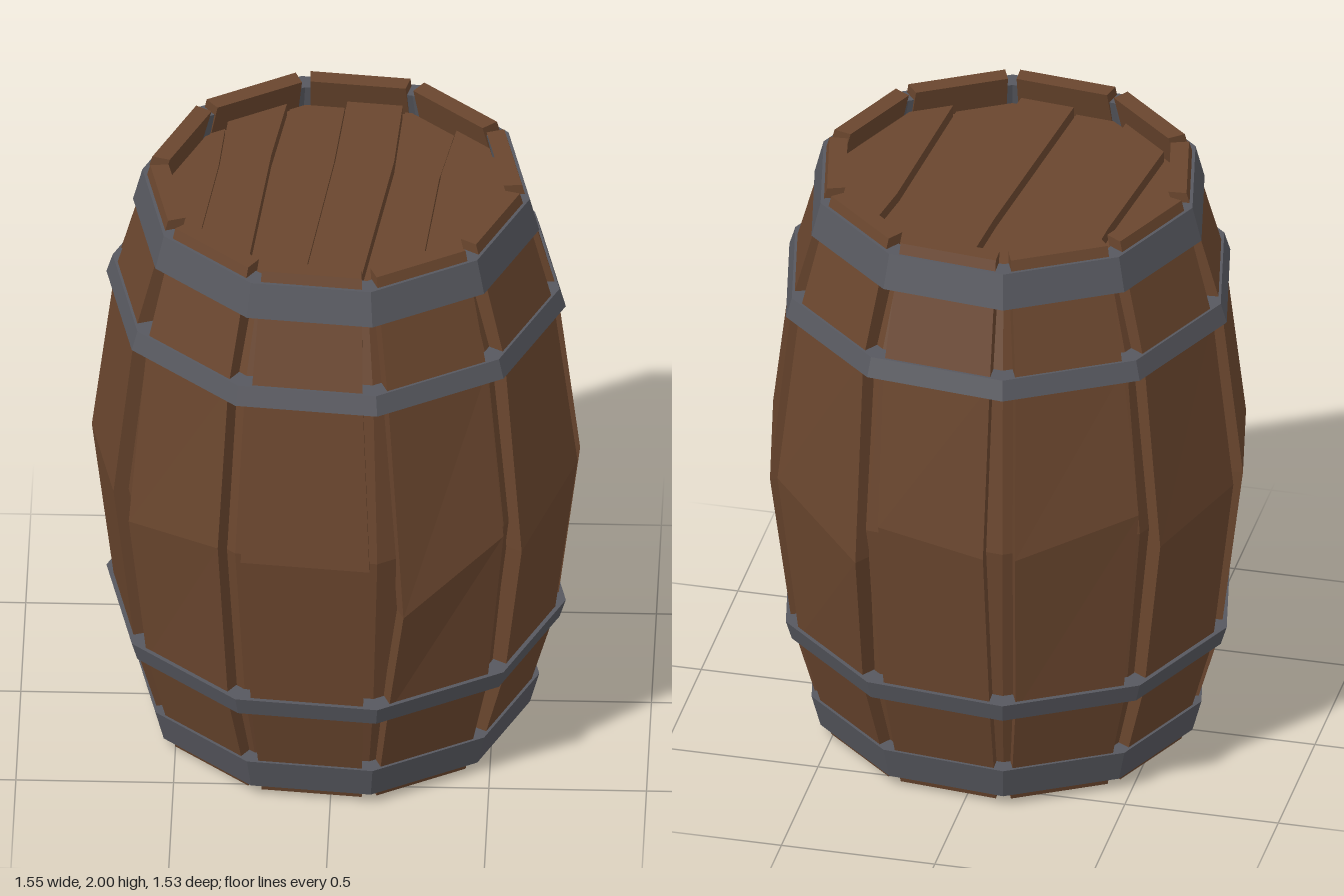
import * as THREE from 'three';

const wood = new THREE.MeshStandardMaterial({ color: 0x6a462e, flatShading: true });
wood.name = 'brown wood';
const metal = new THREE.MeshStandardMaterial({ color: 0x57585f, flatShading: true });
metal.name = 'grey iron';

const SIDES = 10;
const STEP = (Math.PI * 2) / SIDES;
const CORNER = THREE.MathUtils.degToRad(12); // angle of the first hoop corner
const COS = Math.cos(STEP / 2);
const LEVELS = [[0.015, 0.57], [0.4, 0.68], [1, 0.75], [1.6, 0.68], [2, 0.57]]; // height, distance to outer face
const HALF_WIDTH = [0.16, 0.178, 0, 0.178, 0.16];

// uneven belly edges of each stave: left, right, and the heights of their bends
const BELLY = [
  [-0.16, 0.2, 0.8, 1.0], [-0.2, 0.207, 0.9, 1.0], [-0.2, 0.2, 1.0, 0.95], [-0.2, 0.235, 1.0, 0.9],
  [-0.172, 0.18, 1.05, 1.0], [-0.2, 0.209, 1.0, 1.1], [-0.186, 0.195, 0.95, 1.0],
  [-0.205, 0.183, 1.0, 1.0], [-0.192, 0.199, 0.95, 1.03], [-0.203, 0.209, 1.0, 1.0],
];

// bent plank with four-cornered cross-sections, facing +z
function staveGeometry([left, right, leftY, rightY]) {
  const pos = [], index = [];
  const thick = 0.058;
  LEVELS.forEach(([y, d], i) => {
    const mid = i === 2;
    const l = mid ? left : -HALF_WIDTH[i], r = mid ? right : HALF_WIDTH[i];
    const ly = mid ? leftY : y, ry = mid ? rightY : y;
    pos.push(l, ly, d, r, ry, d, r - 0.008, ry, d - thick, l + 0.008, ly, d - thick);
    if (i === 0) return;
    const a = (i - 1) * 4, b = i * 4;
    for (let j = 0; j < 4; j++) {
      const k = (j + 1) % 4;
      index.push(a + j, a + k, b + k, a + j, b + k, b + j);
    }
  });
  const t = (LEVELS.length - 1) * 4;
  index.push(t, t + 1, t + 2, t, t + 2, t + 3, 0, 2, 1, 0, 3, 2);
  const g = new THREE.BufferGeometry();
  g.setAttribute('position', new THREE.Float32BufferAttribute(pos, 3));
  g.setIndex(index);
  g.computeVertexNormals();
  return g;
}

// ten-sided ring or solid; profile radii are measured to the corners
function tenSided(profile, material, name) {
  const points = profile.map(([r, y]) => new THREE.Vector2(r, y));
  const mesh = new THREE.Mesh(new THREE.LatheGeometry(points, SIDES, CORNER, Math.PI * 2), material);
  mesh.name = name;
  return mesh;
}

function hoop(y0, r0, y1, r1, name) {
  const t = 0.065;
  return tenSided([[r0, y0], [r1, y1], [r1 - t, y1], [r0 - t, y0], [r0, y0]], metal, name);
}

// half length of the ten-sided lid at distance u from its centre line
function halfLength(u, apothem) {
  let h = Infinity;
  for (let k = -2; k <= 2; k++) h = Math.min(h, (apothem - u * Math.sin(k * STEP)) / Math.cos(k * STEP));
  return Math.max(h, 0.001);
}

function lidPlanks() {
  const lid = new THREE.Group();
  lid.name = 'lid';
  const A = 0.525, R = A / COS, gap = 0.004;
  const edges = [-R, -0.4, -0.22, -0.04, 0.145, 0.325, R];
  const bends = [0, 0.008, -0.01, 0.008, 0.016, -0.014, 0]; // small crooks in the seams
  const corners = [-3, -1, 1, 3].map((n) => R * Math.sin((n * STEP) / 2));
  for (let i = 0; i < edges.length - 1; i++) {
    const u0 = edges[i] + gap, u1 = edges[i + 1] - gap;
    const us = [u0, ...corners.filter((c) => c > u0 && c < u1), u1];
    const outline = [
      ...us.map((u) => new THREE.Vector2(u, -halfLength(u, A))),
      new THREE.Vector2(u1 + bends[i + 1], halfLength(u1, A) * 0.4),
      ...us.slice().reverse().map((u) => new THREE.Vector2(u, halfLength(u, A))),
      new THREE.Vector2(u0 + bends[i], halfLength(u0, A) * 0.4),
    ];
    const g = new THREE.ExtrudeGeometry(new THREE.Shape(outline), {
      depth: i % 2 ? 0.055 : 0.03, bevelEnabled: false,
    });
    g.rotateX(-Math.PI / 2);
    const plank = new THREE.Mesh(g, wood);
    plank.name = 'lidPlank';
    plank.position.y = 1.87;
    lid.add(plank);
  }
  lid.rotation.y = THREE.MathUtils.degToRad(-6);
  return lid;
}

export function createModel() {
  const barrel = new THREE.Group();
  barrel.name = 'barrel';

  // staves around the barrel
  BELLY.forEach((belly, i) => {
    const stave = new THREE.Mesh(staveGeometry(belly), wood);
    stave.name = 'stave';
    stave.rotation.y = CORNER + STEP * (i + 0.5);
    barrel.add(stave);
  });

  // solid core behind the gaps, with the flat bottom
  const c = (d) => d / COS;
  barrel.add(tenSided([[0, 0], [c(0.525), 0], [c(0.63), 0.4], [c(0.7), 1], [c(0.63), 1.6], [c(0.545), 1.88], [0, 1.88]], wood, 'core'));

  barrel.add(lidPlanks());

  // iron hoops
  barrel.add(
    hoop(0.04, 0.62, 0.15, 0.65, 'bottomHoop'),
    hoop(0.375, 0.715, 0.44, 0.735, 'lowerHoop'),
    hoop(1.565, 0.735, 1.63, 0.715, 'upperHoop'),
    hoop(1.85, 0.65, 1.965, 0.62, 'topHoop'),
  );
  return barrel;
}
